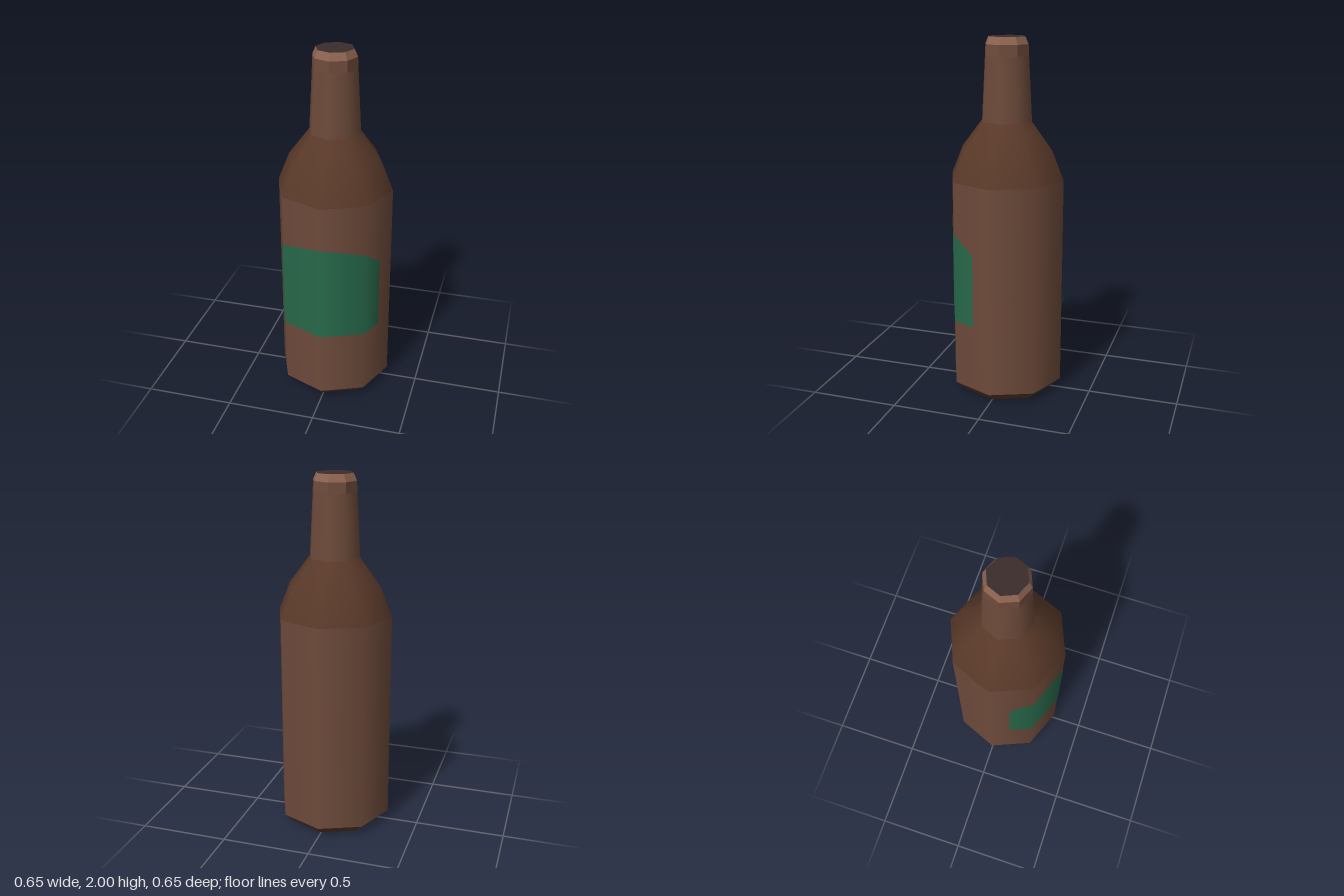
import * as THREE from 'three';

const SIDES = 8;
const GLASS = 0x6e4b3b, DARK = 0x593929, LIP = 0x8c6350, CAP = 0x3a2c2a, GREEN = 0x27694a;

function material(color, flatShading = false) {
  return new THREE.MeshStandardMaterial({ color, flatShading });
}

// One turned band of the bottle, from [radius, height] pairs running upwards
function band(name, profile, color, flat = false) {
  const points = profile.map(([r, y]) => new THREE.Vector2(r, y));
  const mesh = new THREE.Mesh(new THREE.LatheGeometry(points, SIDES), material(color, flat));
  mesh.name = name;
  return mesh;
}

// Thin label wrapped over the four front facets, with an arched top edge
function makeLabel() {
  const bottom = 0.435, offset = 0.003;
  const half = [[0.281, 0.105, 0.85], [0.23, 0.23, 0.945]]; // x, z, top height
  const columns = [
    ...half.map(([x, z, top]) => [-x, z, top]),
    [0, 0.325, 0.99],
    ...half.slice().reverse(),
  ];
  const positions = [], normals = [], index = [];
  columns.forEach(([x, z, top], i) => {
    const r = Math.hypot(x, z), nx = x / r, nz = z / r;
    for (const y of [bottom, top]) {
      positions.push(x + nx * offset, y, z + nz * offset);
      normals.push(nx, 0, nz);
    }
    if (i < columns.length - 1) {
      const a = i * 2;
      index.push(a, a + 2, a + 3, a, a + 3, a + 1);
    }
  });
  const geometry = new THREE.BufferGeometry();
  geometry.setAttribute('position', new THREE.Float32BufferAttribute(positions, 3));
  geometry.setAttribute('normal', new THREE.Float32BufferAttribute(normals, 3));
  geometry.setIndex(index);
  const mat = material(GREEN);
  mat.side = THREE.DoubleSide;
  const mesh = new THREE.Mesh(geometry, mat);
  mesh.name = 'label';
  return mesh;
}

export function createModel() {
  const bottle = new THREE.Group();
  bottle.name = 'bottle';
  bottle.add(
    band('base', [[0, 0], [0.265, 0], [0.325, 0.055]], DARK, true),
    band('body', [[0.325, 0.055], [0.325, 1.235]], GLASS),
    band('shoulder', [[0.325, 1.235], [0.26, 1.395], [0.143, 1.55]], DARK),
    band('neck', [[0.143, 1.55], [0.124, 1.9]], GLASS),
    band('neckTop', [[0.124, 1.9], [0.121, 1.96]], GLASS, true),
    band('lip', [[0.121, 1.96], [0.103, 2]], LIP, true),
    band('mouth', [[0.103, 2], [0, 2]], CAP, true),
    makeLabel(),
  );
  return bottle;
}
